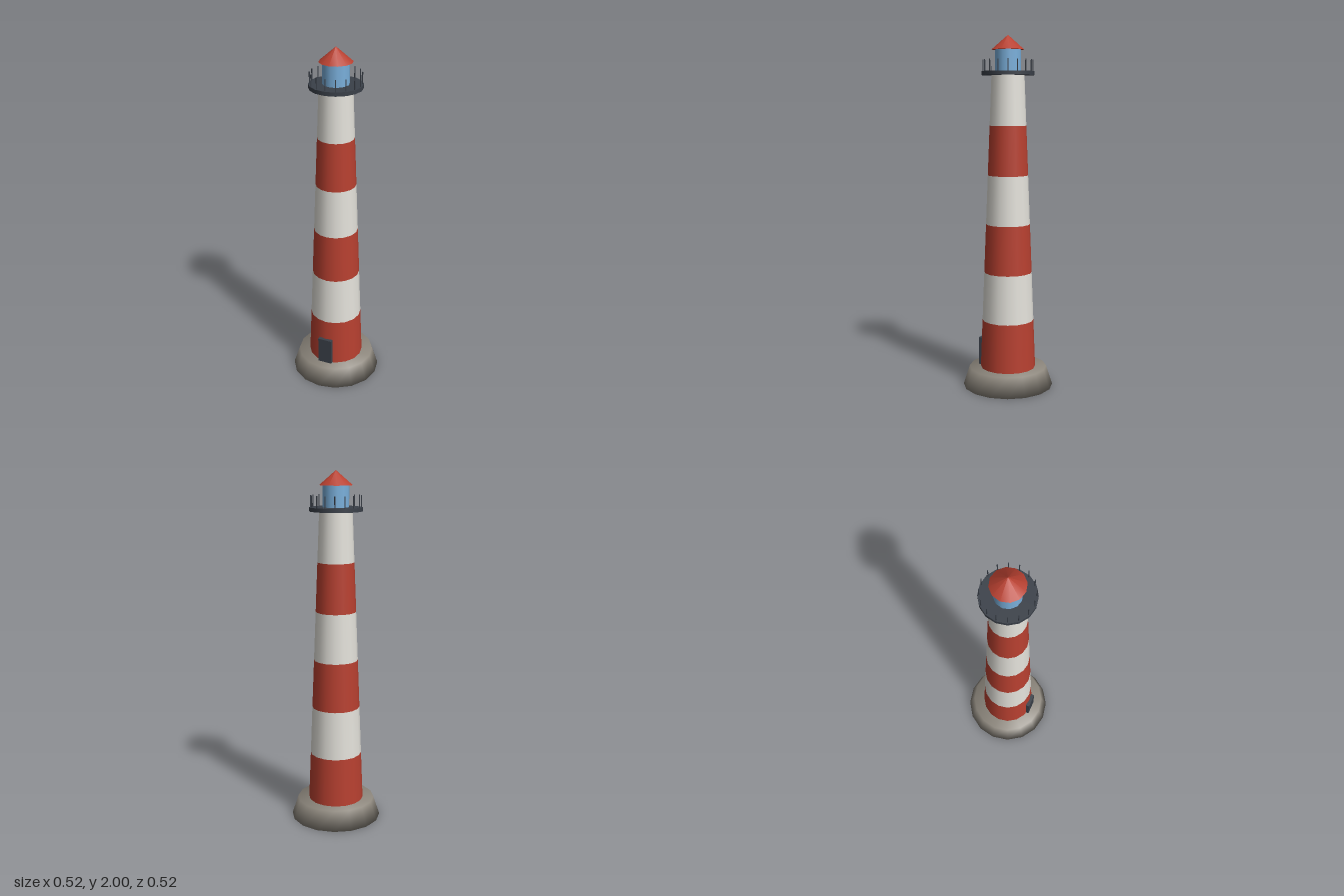
import * as THREE from 'three';
import { mergeVertices } from 'three/addons/utils/BufferGeometryUtils.js';

const paint = (name, color) => {
  const m = new THREE.MeshStandardMaterial({ color });
  m.name = name;
  return m;
};

export function createModel() {
  const red = paint('red', 0xb84030);
  const white = paint('white', 0xe4e2db);
  const stone = paint('stone', 0x8c867c);
  const iron = paint('iron', 0x3a4049);
  const glass = paint('glass', 0x7ab0dc);

  const model = new THREE.Group();
  model.name = 'lighthouse';
  const add = (name, geometry, material, x, y, z, parent = model) => {
    const mesh = new THREE.Mesh(geometry, material);
    mesh.name = name;
    mesh.position.set(x, y, z);
    parent.add(mesh);
    return mesh;
  };
  // Round part standing between two heights
  const drum = (name, material, y0, y1, r0, r1, sides, open = false) =>
    add(name, new THREE.CylinderGeometry(r1, r0, y1 - y0, sides, 1, open), material, 0, (y0 + y1) / 2, 0);

  // Stone foundation, smoothed across its edges
  const base = drum('foundation', stone, 0, 0.11, 0.258, 0.222, 16);
  base.geometry.deleteAttribute('uv');
  base.geometry.deleteAttribute('normal');
  base.geometry = mergeVertices(base.geometry);
  base.geometry.computeVertexNormals();

  // Tapered tower in six alternating bands
  const bottom = 0.11, top = 1.78, bands = 6;
  const radius = (t) => THREE.MathUtils.lerp(0.158, 0.092, t);
  const height = (t) => THREE.MathUtils.lerp(bottom, top, t);
  for (let i = 0; i < bands; i++) {
    const t0 = i / bands, t1 = (i + 1) / bands;
    drum(`towerBand${i + 1}`, i % 2 ? white : red, height(t0), height(t1), radius(t0), radius(t1), 16, true);
  }

  // Door on the front
  add('door', new THREE.BoxGeometry(0.084, 0.16, 0.022), iron, 0, 0.19, 0.156);

  // Gallery deck and its ring of posts
  drum('galleryDeck', iron, 1.78, 1.802, 0.147, 0.147, 16);
  const railing = new THREE.Group();
  railing.name = 'railing';
  model.add(railing);
  const postShape = new THREE.CylinderGeometry(0.003, 0.003, 0.066, 6);
  for (let i = 0; i < 16; i++) {
    const a = (i / 16) * Math.PI * 2;
    add('railingPost', postShape, iron, Math.sin(a) * 0.139, 1.833, Math.cos(a) * 0.139, railing);
  }

  // Lantern room and conical roof
  drum('lanternRoom', glass, 1.802, 1.92, 0.073, 0.073, 12);
  add('roof', new THREE.ConeGeometry(0.092, 0.08, 12), red, 0, 1.96, 0);

  return model;
}
